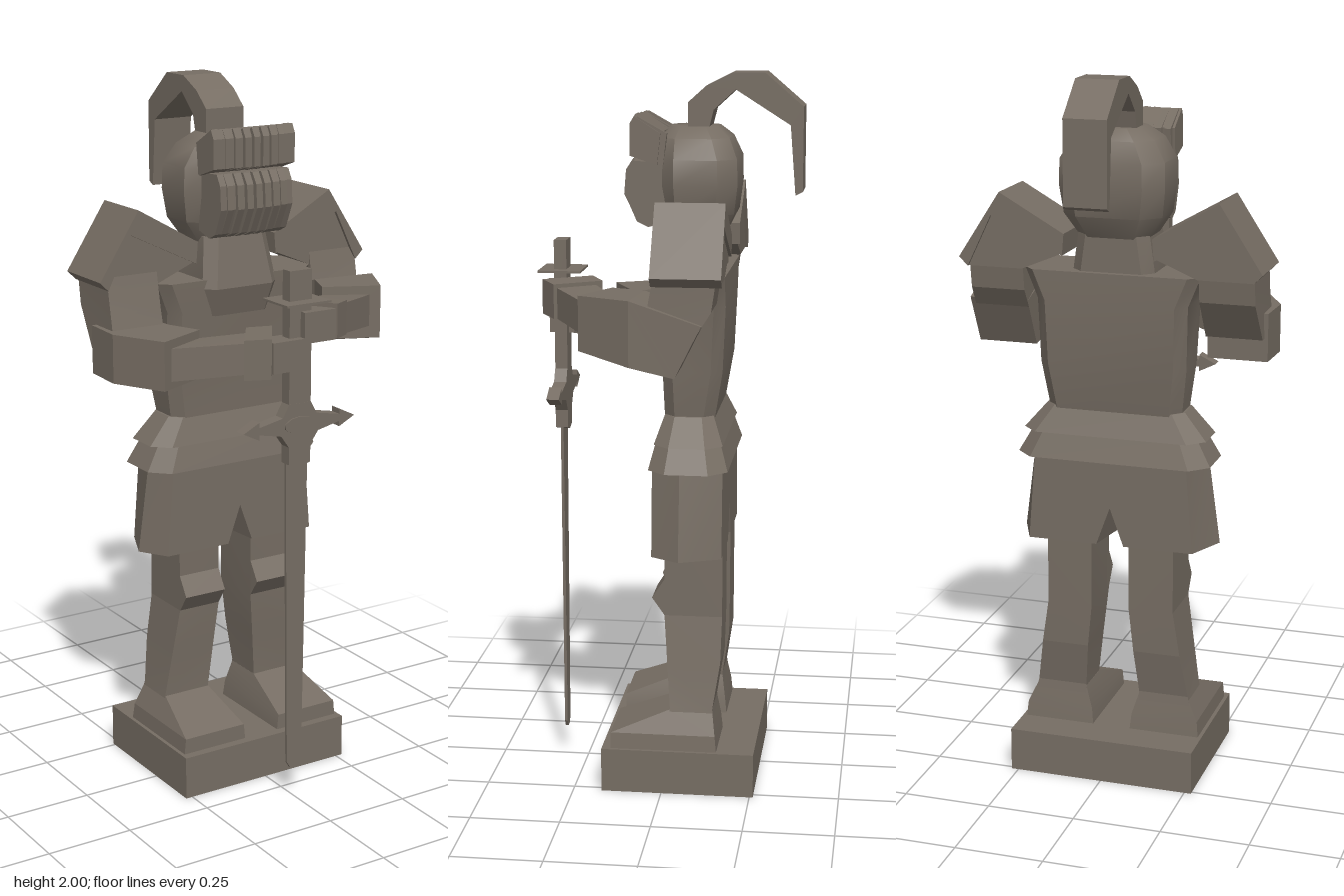
import * as THREE from 'three';
import { toCreasedNormals } from 'three/addons/utils/BufferGeometryUtils.js';

// Closed solid through rings of equally many [x, y, z] points, turned outward, with creased normals
function loft(rings, crease = 0.3) {
  const tris = [];
  const n = rings[0].length;
  const centre = r => [0, 1, 2].map(k => r.reduce((s, p) => s + p[k], 0) / n);
  for (let i = 0; i < rings.length - 1; i++) {
    for (let j = 0; j < n; j++) {
      const k = (j + 1) % n, a = rings[i], b = rings[i + 1];
      tris.push([a[j], b[j], b[k]], [a[j], b[k], a[k]]);
    }
  }
  const first = rings[0], last = rings[rings.length - 1], c0 = centre(first), c1 = centre(last);
  for (let j = 0; j < n; j++) {
    const k = (j + 1) % n;
    tris.push([c0, first[j], first[k]], [c1, last[k], last[j]]);
  }
  const v = p => new THREE.Vector3(...p);
  const volume = tris.reduce((s, [a, b, c]) => s + v(a).sub(v(c0)).dot(v(b).sub(v(c0)).cross(v(c).sub(v(c0)))), 0);
  if (volume < 0) tris.forEach(t => t.reverse());
  const geo = new THREE.BufferGeometry();
  geo.setAttribute('position', new THREE.Float32BufferAttribute(tris.flat(2), 3));
  return toCreasedNormals(geo, crease);
}

// Horizontal rectangle, and one with cut corners
const rect = (y, x0, x1, z0, z1) => [[x0, y, z0], [x1, y, z0], [x1, y, z1], [x0, y, z1]];
function octo(y, hx, z0, z1, c) {
  return [[hx - c, z1], [hx, z1 - c], [hx, z0 + c], [hx - c, z0],
    [c - hx, z0], [-hx, z0 + c], [-hx, z1 - c], [c - hx, z1]].map(([x, z]) => [x, y, z]);
}
// Upright section over two plan points
const upright = ([xa, za], [xb, zb], y0, y1) => [[xa, y0, za], [xb, y0, zb], [xb, y1, zb], [xa, y1, za]];
const mirror = (rings, s) => rings.map(r => r.map(([x, y, z]) => [x * s, y, z]));
// Outline in x and y, drawn out in z
const slab = (pts, z0, z1) => loft([pts.map(([x, y]) => [x, y, z0]), pts.map(([x, y]) => [x, y, z1])]);

function extrude(pts, z0, z1) {
  const geo = new THREE.ExtrudeGeometry(new THREE.Shape(pts.map(p => new THREE.Vector2(...p))),
    { depth: z1 - z0, bevelEnabled: false });
  return geo.translate(0, 0, z0);
}

export function createModel() {
  const model = new THREE.Group();
  const stone = new THREE.MeshStandardMaterial({ color: 0x766d63 });
  stone.name = 'stone grey';
  const add = (name, geo) => {
    const mesh = new THREE.Mesh(geo, stone);
    mesh.name = name;
    model.add(mesh);
    return mesh;
  };
  const box = (name, w, h, d, x, y, z) => add(name, new THREE.BoxGeometry(w, h, d).translate(x, y, z));

  box('base', 0.54, 0.125, 0.43, 0, 0.0625, -0.045);

  for (const s of [1, -1]) {
    const side = s > 0 ? 'left' : 'right';
    // Legs, feet and knee guards
    add(side + 'Leg', loft(mirror([
      rect(0.12, 0.085, 0.255, -0.155, -0.02), rect(0.24, 0.08, 0.225, -0.14, -0.02),
      rect(0.37, 0.068, 0.205, -0.16, -0.01), rect(0.5, 0.055, 0.185, -0.163, 0),
      rect(0.8, 0.055, 0.185, -0.163, 0)], s), 0.1));
    add(side + 'Foot', loft(mirror([
      rect(0.12, 0.055, 0.26, -0.155, 0.145), rect(0.17, 0.06, 0.255, -0.15, 0.145),
      rect(0.235, 0.08, 0.225, -0.14, -0.02)], s)));
    add(side + 'KneeGuard', loft(mirror([
      rect(0.5, 0.055, 0.185, -0.02, 0), rect(0.55, 0.055, 0.185, -0.02, 0.035),
      rect(0.605, 0.055, 0.185, -0.02, 0)], s)));

    // Roof-shaped shoulder plate over a recessed filling
    const flip = pts => pts.map(([x, y]) => [x * s, y]);
    add(side + 'ShoulderPlate', extrude(flip([[0.31, 1.675], [0.43, 1.49], [0.405, 1.465],
      [0.335, 1.61], [0.13, 1.51], [0.125, 1.57]]), -0.178, 0.01));
    add(side + 'ShoulderFilling', slab(flip([[0.335, 1.61], [0.405, 1.465], [0.25, 1.465],
      [0.13, 1.515]]), -0.17, 0));

    // Upper arm, leaning forward into the elbow
    add(side + 'UpperArm', loft(mirror([
      rect(1.5, 0.25, 0.405, -0.165, 0), rect(1.4, 0.25, 0.405, -0.15, 0.02),
      rect(1.29, 0.25, 0.41, -0.08, 0.05)], s)));

    // Elbow cuff: the left arm is raised, the right one level
    const up = s > 0 ? 0.07 : 0;
    const rear = s > 0
      ? [[0.25, 1.225, -0.055], [0.42, 1.225, -0.055], [0.42, 1.365, -0.125], [0.25, 1.365, -0.125]]
      : upright([0.25, -0.06], [0.42, -0.06], 1.225, 1.36);
    add(side + 'ElbowCuff', loft(mirror([rear,
      upright([0.24, 0.045], [0.425, 0.065], 1.225 + up * 0.4, 1.36 + up),
      upright([0.2, 0.14], [0.35, 0.21], 1.225 + up * 0.8, 1.36 + up)], s)));

    // Forearm and hand
    add(side + 'Forearm', loft(mirror([
      upright([0.215, 0.13], [0.325, 0.195], 1.245 + up, 1.335 + up),
      upright([0.085, 0.205], [0.15, 0.305], 1.265 + up, 1.35 + up)], s)));
    add(side + 'Hand', loft(mirror([
      upright([0.08, 0.185], [0.165, 0.308], 1.25 + up * 1.2, 1.36 + up),
      upright([0.02, 0.222], [0.105, 0.35], 1.255 + up * 1.2, 1.365 + up)], s)));
    box(side + 'Fingers', 0.1, 0.085, 0.07, s * 0.05, 1.31 + up, 0.315);
  }

  // Skirt with a notch at front and back
  const skirtRing = (y, hx, fx, notch) => [
    [fx, y, 0.03], [hx, y, -0.05], [fx, y, -0.165], [0.04, y, -0.165], [0, y + notch, -0.165],
    [-0.04, y, -0.165], [-fx, y, -0.165], [-hx, y, -0.05], [-fx, y, 0.03],
    [-0.04, y, 0.03], [0, y + notch, 0.03], [0.04, y, 0.03]];
  add('skirt', loft([skirtRing(0.685, 0.29, 0.24, 0.11), skirtRing(0.94, 0.255, 0.22, 0)]));

  // Two flared belt tiers
  add('lowerBelt', loft([octo(0.93, 0.28, -0.18, 0.04, 0.05), octo(1.01, 0.235, -0.155, 0.02, 0.04)]));
  add('upperBelt', loft([octo(1.0, 0.265, -0.165, 0.025, 0.045), octo(1.075, 0.2, -0.135, 0, 0.03)]));

  // Body and collar
  add('torso', loft([
    octo(1.05, 0.19, -0.135, 0, 0.03), octo(1.2, 0.21, -0.16, 0.005, 0.03),
    octo(1.38, 0.215, -0.168, 0.025, 0.03), octo(1.465, 0.25, -0.168, 0.03, 0.03)], 0.5));
  add('collar', loft([
    octo(1.36, 0.11, -0.15, 0.03, 0.03), octo(1.44, 0.12, -0.15, 0.055, 0.03),
    octo(1.58, 0.1, -0.15, 0.03, 0.03)]));

  // Helmet
  add('helmet', loft([
    octo(1.56, 0.1, -0.15, 0.01, 0.035), octo(1.62, 0.14, -0.18, 0.025, 0.05),
    octo(1.7, 0.15, -0.19, 0.03, 0.05), octo(1.77, 0.148, -0.188, 0.03, 0.05),
    octo(1.825, 0.115, -0.165, 0.025, 0.045), octo(1.855, 0.07, -0.13, 0, 0.03)], 0.7));

  // Visor: outlines given in z and y, drawn out along x
  const profile = (pts, x0, x1) => extrude(pts, x0, x1).rotateY(-Math.PI / 2)
    .translate(x0 + x1, 0, 0);
  const lower = [[0, 1.76], [0.105, 1.765], [0.125, 1.735], [0.13, 1.67], [0.095, 1.6], [0.06, 1.585], [0, 1.6]];
  const upper = [[0.02, 1.84], [0.1, 1.885], [0.115, 1.86], [0.115, 1.78], [0.03, 1.755]];
  add('lowerVisor', profile(lower.map(([z, y]) => [z * 0.88, y]), -0.115, 0.115));
  add('upperVisor', profile(upper.map(([z, y]) => [z * 0.88, y]), -0.13, 0.13));
  for (let i = -4; i <= 4; i++) {
    const x = i * 0.0285, back = 0.0012 * i * i;
    const rib = (pts, w) => profile(pts.map(([z, y]) => [z - back, y]), x - w, x + w);
    if (Math.abs(i) < 4) add('lowerVisorRib', rib(lower, 0.01));
    add('upperVisorRib', rib(upper, 0.009));
  }

  // Plume
  add('plume', profile([[-0.05, 1.84], [-0.05, 1.92], [-0.1, 1.965], [-0.17, 2], [-0.26, 2],
    [-0.365, 1.91], [-0.365, 1.68], [-0.345, 1.67], [-0.33, 1.86], [-0.18, 1.955],
    [-0.12, 1.9], [-0.105, 1.84]], -0.06, 0.06));

  // Sword, point down
  box('swordPommel', 0.07, 0.2, 0.035, 0, 1.435, 0.312);
  box('swordPommelPlate', 0.14, 0.006, 0.12, 0, 1.45, 0.31);
  box('swordGrip', 0.07, 0.25, 0.035, 0, 1.25, 0.312);
  const half = [[0.035, 1.17], [0.055, 1.135], [0.13, 1.12], [0.13, 1.135], [0.18, 1.11],
    [0.13, 1.085], [0.13, 1.1], [0.06, 1.085], [0.035, 1.05], [0.035, 1.0], [0, 0.99]];
  add('swordGuard', extrude([...half, ...half.slice(0, -1).reverse().map(([x, y]) => [-x, y])], 0.295, 0.33));
  add('swordGuardBoss', new THREE.CylinderGeometry(1, 1, 0.008, 10).rotateX(Math.PI / 2)
    .scale(0.05, 0.024, 1).translate(0, 1.11, 0.33));
  add('swordBlade', slab([[0.035, 1.01], [0.024, 0.11], [0.012, 0.09], [-0.012, 0.09],
    [-0.024, 0.11], [-0.035, 1.01]], 0.308, 0.316));

  return model;
}
